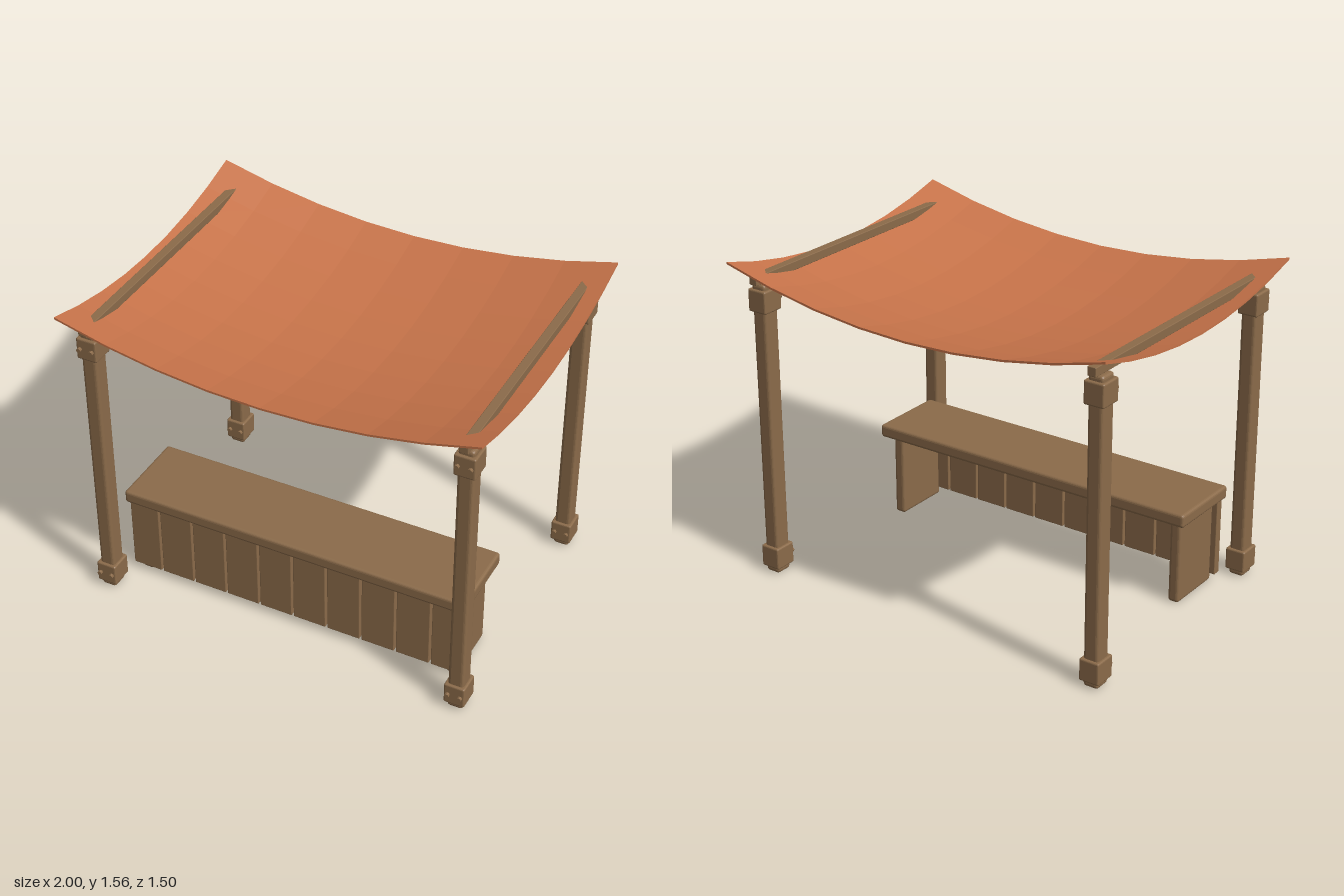
import * as THREE from 'three';
import { RoundedBoxGeometry } from 'three/addons/geometries/RoundedBoxGeometry.js';

export function createModel() {
  const model = new THREE.Group();
  model.name = 'marketStall';
  const wood = new THREE.MeshStandardMaterial({ name: 'wood', color: 0x8b6b4a });
  const cloth = new THREE.MeshStandardMaterial({ name: 'terracotta cloth', color: 0xc8744a });
  wood.flatShading = cloth.flatShading = true;

  // Box with softened edges, given by its centre and size
  function block(parent, name, [x, y, z], [w, h, d], bevel) {
    const mesh = new THREE.Mesh(new RoundedBoxGeometry(w, h, d, 2, bevel), wood);
    mesh.name = name;
    mesh.position.set(x, y, z);
    parent.add(mesh);
    return mesh;
  }

  // Sagging canopy, higher toward all four edges
  const sheet = new THREE.BoxGeometry(2, 0.01, 1.5, 8, 1, 8);
  const pos = sheet.attributes.position;
  for (let i = 0; i < pos.count; i++) {
    const x = pos.getX(i), z = pos.getZ(i) / 0.75;
    pos.setY(i, pos.getY(i) + 1.293 + 0.146 * x * x + 0.115 * z * z);
  }
  sheet.computeVertexNormals();
  const canopy = new THREE.Mesh(sheet, cloth);
  canopy.name = 'canopy';
  model.add(canopy);

  // Posts with collars at both ends, bolted on the front face
  const boltGeometry = new THREE.CylinderGeometry(0.011, 0.011, 0.03, 8).rotateX(Math.PI / 2);
  for (const sx of [-1, 1]) {
    for (const sz of [-1, 1]) {
      const post = new THREE.Group();
      post.name = 'post';
      post.position.set(sx * 0.9, 0, sz * 0.623);
      model.add(post);
      block(post, 'postShaft', [0, 0.725, 0], [0.076, 1.45, 0.086], 0.015);
      for (const y of [0.083, 1.37]) {
        block(post, 'postCollar', [0, y, 0], [0.1, 0.108, 0.112], 0.008);
        for (const bx of [-0.03, 0.03]) {
          const bolt = new THREE.Mesh(boltGeometry, wood);
          bolt.name = 'bolt';
          bolt.position.set(bx, y, 0.056);
          post.add(bolt);
        }
      }
    }
    // Rail joining the front and back posts, rising through the cloth
    block(model, 'roofRail', [sx * 0.9, 1.475, 0], [0.042, 0.042, 1.392], 0.003);
  }

  // Counter: top, two slab legs and a planked front
  const counter = new THREE.Group();
  counter.name = 'counter';
  model.add(counter);
  block(counter, 'counterTop', [0, 0.452, 0.327], [1.735, 0.065, 0.395], 0.014);
  for (const sx of [-1, 1]) {
    block(counter, 'counterLeg', [sx * 0.798, 0.215, 0.327], [0.057, 0.425, 0.295], 0.015);
  }
  for (let i = 0; i < 10; i++) {
    const left = Math.max(-0.87 + i * 0.175, -0.855);
    const right = Math.min(-0.705 + i * 0.175, 0.855);
    block(counter, 'frontPlank', [(left + right) / 2, 0.235, 0.48], [right - left, 0.39, 0.04], 0.004);
  }
  return model;
}
